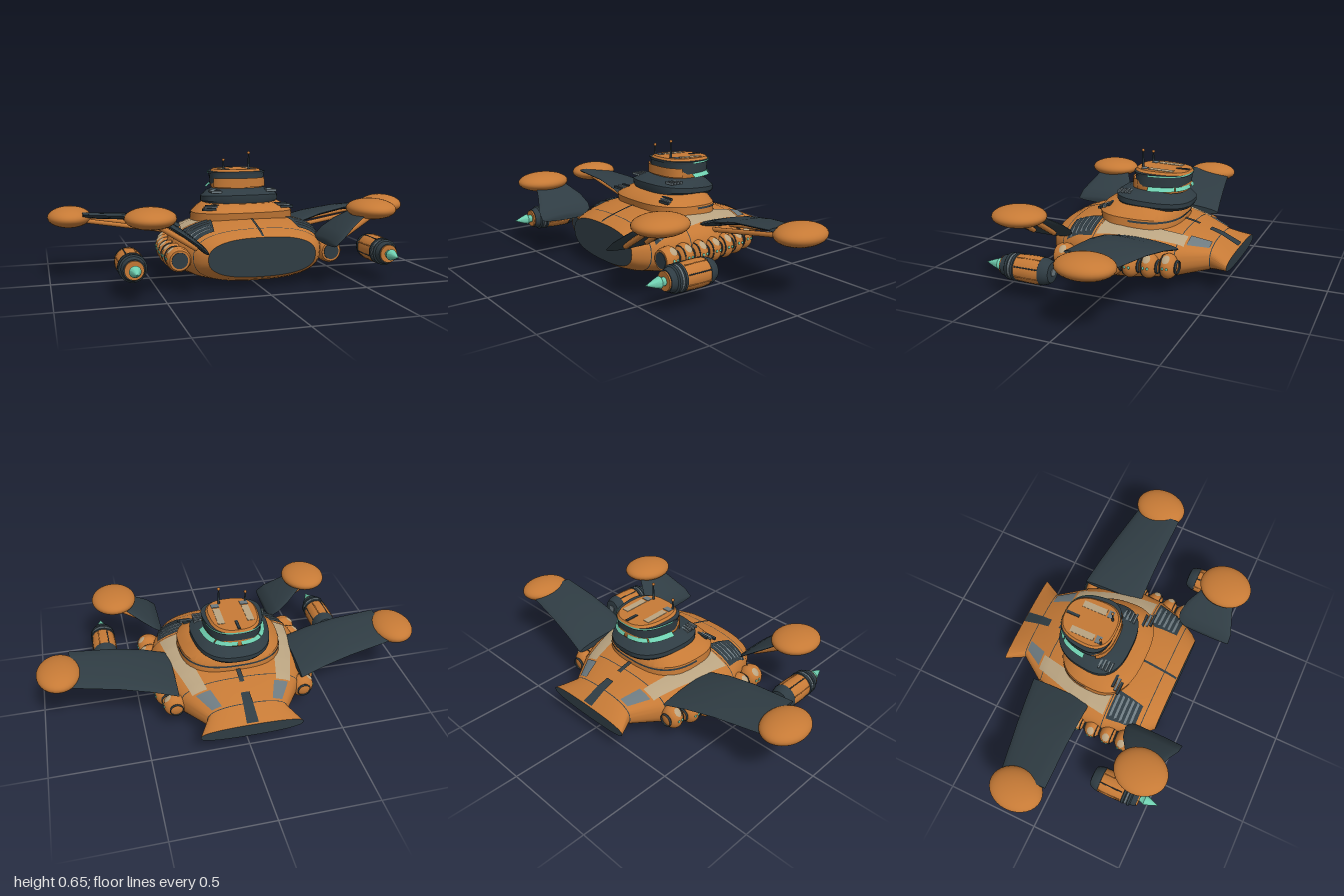
import * as THREE from 'three';
import { toCreasedNormals } from 'three/addons/utils/BufferGeometryUtils.js';

const material = (name, color) => {
  const m = new THREE.MeshStandardMaterial({ color, side: THREE.DoubleSide });
  m.name = name;
  return m;
};

export function createModel() {
  const model = new THREE.Group();
  model.name = 'spacecraft';
  const orange = material('orange', 0xc67a36);
  const dark = material('dark slate', 0x2f3c43);
  const teal = material('teal', 0x6fcfb0);
  const tan = material('tan', 0xbaa481);
  const grey = material('grey', 0x6d7a80);

  const add = (name, geometry, mat, x = 0, y = 0, z = 0) => {
    const mesh = new THREE.Mesh(geometry, mat);
    mesh.name = name;
    mesh.position.set(x, y, z);
    model.add(mesh);
    return mesh;
  };
  const V = (x, y, z) => new THREE.Vector3(x, y, z);
  const pw = (v, e) => Math.sign(v) * Math.abs(v) ** e;

  // Closed loft through rings; group 0 is the skin, 1 and 2 the end caps
  function loft(rings, crease = 0.6, caps = true) {
    const n = rings[0].length, pts = rings.flat(), idx = [];
    for (let r = 0; r < rings.length - 1; r++)
      for (let i = 0; i < n; i++) {
        const j = (i + 1) % n, a = r * n + i, b = r * n + j;
        idx.push(a, b, a + n, b, b + n, a + n);
      }
    const skin = idx.length;
    if (caps) [rings[0], rings[rings.length - 1]].forEach((ring, k) => {
      const base = pts.length;
      const c = V(0, 0, 0);
      ring.forEach(p => c.add(p));
      pts.push(...ring, c.divideScalar(n));
      for (let i = 0; i < n; i++) {
        const j = (i + 1) % n;
        idx.push(base + n, base + (k ? i : j), base + (k ? j : i));
      }
    });
    // Turn the faces outward when the rings run the other way
    const c = V(0, 0, 0), cross = V(0, 0, 0);
    pts.forEach(p => c.addScaledVector(p, 1 / pts.length));
    let volume = 0;
    for (let i = 0; i < idx.length; i += 3) {
      const [p, q, s] = [0, 1, 2].map(k => pts[idx[i + k]].clone().sub(c));
      volume += p.dot(cross.crossVectors(q, s));
    }
    if (volume < 0) for (let i = 0; i < idx.length; i += 3) [idx[i], idx[i + 1]] = [idx[i + 1], idx[i]];
    const g = new THREE.BufferGeometry().setFromPoints(pts);
    g.setIndex(idx);
    g.addGroup(0, skin, 0);
    if (caps) { g.addGroup(skin, n * 3, 1); g.addGroup(skin + n * 3, n * 3, 2); }
    return toCreasedNormals(g, crease);
  }

  // Open sheet from a function of u and v
  function sheet(f, nu = 10, nv = 6) {
    const g = new THREE.PlaneGeometry(1, 1, nu, nv), p = g.attributes.position;
    for (let i = 0; i < p.count; i++) {
      const q = f(p.getX(i) + 0.5, p.getY(i) + 0.5);
      p.setXYZ(i, q.x, q.y, q.z);
    }
    g.computeVertexNormals();
    return g;
  }

  // Hull stations: z, half width, bottom, top
  const stations = [
    [-0.55, 0.26, 0.105, 0.175], [-0.45, 0.205, 0.072, 0.225], [-0.3, 0.31, 0.035, 0.272],
    [-0.2, 0.36, 0.02, 0.292], [-0.1, 0.392, 0.009, 0.307], [0, 0.408, 0.003, 0.317], [0.11, 0.402, 0, 0.32],
    [0.2, 0.376, 0.007, 0.312], [0.3, 0.33, 0.025, 0.285], [0.345, 0.303, 0.042, 0.27], [0.375, 0.275, 0.06, 0.255],
  ];
  const N = 2.55;
  function station(z) {
    let i = 0;
    while (i < stations.length - 2 && z > stations[i + 1][0]) i++;
    const [a, b] = [stations[i], stations[i + 1]];
    return a.map((v, k) => v + (b[k] - v) * (z - a[0]) / (b[0] - a[0]));
  }
  function hullRing(z, grow = 0) {
    const [, w, lo, hi] = station(z);
    return Array.from({ length: 64 }, (_, i) => {
      const t = i / 64 * Math.PI * 2;
      return V((w + grow) * pw(Math.cos(t), 2 / N), (lo + hi) / 2 + ((hi - lo) / 2 + grow) * pw(Math.sin(t), 2 / N), z);
    });
  }
  // Plate lying on the hull: x range at each z end
  function hullPlate(name, mat, z0, z1, [a0, b0], [a1, b1], off = 0.004, up = 1) {
    add(name, sheet((u, v) => {
      const z = z0 + (z1 - z0) * v;
      const [, w, lo, hi] = station(z);
      const x = (a0 + (a1 - a0) * v) * (1 - u) + (b0 + (b1 - b0) * v) * u;
      const h = Math.max(0, 1 - Math.min(1, Math.abs(x / w)) ** N) ** (1 / N);
      return V(x, (lo + hi) / 2 + up * ((hi - lo) / 2 * h + off), z);
    }, 6, 14), mat);
  }
  add('hull', loft(stations.map(s => hullRing(s[0]))), [orange, dark, dark]);
  for (const z of [-0.45, -0.3, -0.1, 0.11, 0.3])
    add('hullSeam', loft([hullRing(z - 0.002, 0.002), hullRing(z + 0.002, 0.002)], 0.6, false), dark);

  // Painted hull plates
  hullPlate('tailStrip', dark, -0.545, -0.39, [-0.03, 0.03], [-0.022, 0.022], 0.006);
  hullPlate('spineStrip', dark, -0.33, -0.24, [-0.012, 0.012], [-0.012, 0.012], 0.006);
  hullPlate('noseSeam', dark, 0.1, 0.37, [-0.006, 0.006], [-0.006, 0.006]);
  hullPlate('keelSeam', dark, -0.54, 0.37, [-0.004, 0.004], [-0.004, 0.004], 0.002, -1);
  for (const s of [-1, 1]) {
    hullPlate('sidePanel', tan, -0.33, -0.1, [s * 0.18, s * 0.255], [s * 0.23, s * 0.325]);
    hullPlate('sidePanel', tan, -0.1, 0.1, [s * 0.23, s * 0.325], [s * 0.24, s * 0.35]);
    hullPlate('tailPanel', grey, -0.44, -0.34, [s * 0.13, s * 0.18], [s * 0.165, s * 0.24], 0.006);
    hullPlate('ventBase', dark, 0.12, 0.275, [s * 0.2, s * 0.36], [s * 0.22, s * 0.335], 0.006);
    for (let i = 0; i < 5; i++) {
      const z = 0.132 + i * 0.028;
      hullPlate('ventBar', grey, z, z + 0.012, [s * 0.22, s * 0.345], [s * 0.225, s * 0.335], 0.012);
    }
    for (const f of [0.42, 0.8])
      for (const [z0, z1] of [[-0.44, -0.3], [-0.3, -0.1], [-0.1, 0.11], [0.11, 0.3]]) {
        const [x0, x1] = [z0, z1].map(z => s * f * station(z)[1]);
        hullPlate('bellySeam', dark, z0, z1, [x0 - 0.0015, x0 + 0.0015], [x1 - 0.0015, x1 + 0.0015], 0.002, -1);
      }
  }

  // Tower decks: plan curve widening toward the front, height sloping with z
  const planPoint = (t, y, w, z0, z1, taper, slope = 0) => {
    const sx = pw(Math.cos(t), 0.75), sz = pw(Math.sin(t), 0.75);
    return V(w * sx * (1 + taper * sz), y + slope * sz, (z0 + z1) / 2 + (z1 - z0) / 2 * sz);
  };
  const deck = (name, mat, rows) => add(name, loft(rows.map(row =>
    Array.from({ length: 48 }, (_, i) => planPoint(i / 48 * Math.PI * 2, ...row)))), mat);
  // Ribbon between two plan curves
  const band = (name, mat, t0, t1, low, high) => add(name, sheet((u, v) => {
    const t = t0 + (t1 - t0) * u;
    return planPoint(t, ...low).lerp(planPoint(t, ...high), v);
  }, 40, 1), mat);
  deck('lowerDeck', orange, [[0.28, 0.27, -0.25, 0.17, 0.06], [0.335, 0.265, -0.25, 0.182, 0.06, 0.012],
    [0.36, 0.24, -0.23, 0.165, 0.06, 0.006], [0.385, 0.2, -0.2, 0.12, 0.06]]);
  band('lowerDeckEdge', dark, Math.PI, Math.PI * 2, [0.318, 0.27, -0.253, 0.18, 0.06, 0.012], [0.328, 0.268, -0.253, 0.18, 0.06, 0.012]);
  deck('middleDeck', dark, [[0.365, 0.18, -0.28, 0.09, 0.14, 0.01], [0.385, 0.2, -0.29, 0.1, 0.14, 0.015],
    [0.41, 0.2, -0.29, 0.1, 0.14, 0.018], [0.438, 0.17, -0.25, 0.05, 0.12, 0.01], [0.455, 0.13, -0.2, 0.01, 0.1]]);
  deck('towerBase', orange, [[0.44, 0.13, -0.26, 0.01, 0.16], [0.475, 0.14, -0.27, 0.018, 0.16], [0.5, 0.135, -0.265, 0.018, 0.16]]);
  deck('tower', dark, [[0.474, 0.141, -0.268, 0.005, 0.16], [0.53, 0.144, -0.272, 0.005, 0.16]]);
  band('towerFrontPanel', orange, Math.PI * 0.17, Math.PI * 0.83, [0.46, 0.146, -0.27, 0.021, 0.16], [0.508, 0.144, -0.27, 0.021, 0.16]);
  // Slanting light panels around the sides and back, split by dark gaps
  for (const [t0, t1] of [[0.95, 1.2], [1.215, 1.49], [1.51, 1.785], [1.8, 2.05]])
    band('towerLights', teal, t0 * Math.PI, t1 * Math.PI, [0.457, 0.164, -0.278, 0.01, 0.16], [0.475, 0.143, -0.27, 0.008, 0.16]);
  band('towerUpperLights', teal, Math.PI * 0.95, Math.PI * 2.05, [0.529, 0.152, -0.278, 0.012, 0.14], [0.536, 0.152, -0.278, 0.012, 0.14]);
  deck('roofRim', dark, [[0.526, 0.148, -0.276, 0.01, 0.14, 0.003], [0.538, 0.15, -0.276, 0.012, 0.14, 0.005]]);
  deck('roof', orange, [[0.538, 0.13, -0.277, 0.012, 0.08, 0.005], [0.55, 0.12, -0.27, 0.004, 0.08, 0.004]]);
  for (const s of [-1, 1]) {
    add('roofPanel', new THREE.BoxGeometry(0.035, 0.006, 0.13), tan, s * 0.075, 0.549, -0.14).rotation.x = -0.03;
    add('roofHatch', new THREE.BoxGeometry(0.04, 0.006, 0.03), grey, s * 0.075, 0.552, -0.05);
    for (let i = 0; i < 4; i++)
      add('deckVent', new THREE.BoxGeometry(0.055, 0.012, 0.01), grey, s * 0.15, 0.444, 0.055 - i * 0.02);
    for (let i = 0; i < 3; i++)
      add('deckStep', new THREE.BoxGeometry(0.07, 0.012, 0.014), i % 2 ? grey : dark, s * (0.185 + i * 0.012), 0.378 - i * 0.006, 0.095 + i * 0.018);
  }
  add('roofSpine', new THREE.BoxGeometry(0.014, 0.006, 0.07), dark, 0, 0.549, -0.23);

  // Straight rod between two points
  function rod(name, mat, a, b, r0, r1 = r0) {
    const d = b.clone().sub(a);
    const m = add(name, new THREE.CylinderGeometry(r1, r0, d.length(), 10), mat);
    m.position.copy(a).addScaledVector(d, 0.5);
    m.quaternion.setFromUnitVectors(V(0, 1, 0), d.normalize());
  }
  for (const [x, top] of [[0.05, 0.64], [-0.09, 0.605]]) {
    rod('antenna', dark, V(x, 0.54, -0.03), V(x, top, -0.03), 0.007, 0.003);
    add('antennaTip', new THREE.SphereGeometry(0.008, 12, 8), orange, x, top, -0.03);
  }

  // Wings: x, y, front z, back z, thickness, rise of the front edge
  const wing = (name, s, rows) => add(name, loft(rows.map(([x, y, zf, zb, h, rise]) =>
    Array.from({ length: 20 }, (_, i) => {
      const t = i / 20 * Math.PI * 2;
      return V(s * x, y + h / 2 * Math.sin(t) + rise * Math.cos(t), (zf + zb) / 2 + (zf - zb) / 2 * Math.cos(t));
    })), 1), dark);
  const ball = (name, mat, x, y, z, rx, ry, rz) =>
    add(name, new THREE.SphereGeometry(1, 32, 20), mat, x, y, z).scale.set(rx, ry, rz);
  // Turned part along z from [radius, z] points
  const turned = (name, mat, x, y, z, points) => add(name, toCreasedNormals(new THREE.LatheGeometry(
    points.map(p => new THREE.Vector2(...p)), 28).rotateX(Math.PI / 2), 0.6), mat, x, y, z);

  for (const s of [-1, 1]) {
    wing('rearWing', s, [[0.32, 0.243, 0.01, -0.328, 0.04, 0.012], [0.45, 0.282, 0.01, -0.305, 0.04, 0.017],
      [0.6, 0.31, 0.01, -0.278, 0.036, 0.02], [0.83, 0.328, 0.015, -0.235, 0.032, 0.02]]);
    ball('rearWingPod', orange, s * 0.89, 0.322, -0.12, 0.11, 0.054, 0.14);
    wing('frontWing', s, [[0.315, 0.225, 0.545, 0.25, 0.035, 0], [0.36, 0.265, 0.54, 0.235, 0.035, 0],
      [0.42, 0.31, 0.51, 0.25, 0.035, 0], [0.5, 0.362, 0.48, 0.3, 0.03, 0]]);
    ball('frontWingPod', orange, s * 0.555, 0.379, 0.41, 0.12, 0.051, 0.14);
    for (const z of [0.34, 0.46]) rod('frontWingStrut', orange, V(s * 0.35, 0.235, z), V(s * 0.53, 0.35, z), 0.014);
    for (const z of [-0.06, -0.2])
      rod('rearWingStrut', orange, V(s * 0.34, 0.226, z), V(s * 0.82, 0.306, z * 0.8 - 0.02), 0.012);

    // Free-standing engine with spike in front
    const engine = (name, mat, pts) => turned(name, mat, s * 0.64, 0.15, 0, pts);
    engine('engineRear', dark, [[0, 0.19], [0.03, 0.182], [0.05, 0.186], [0.058, 0.2], [0.066, 0.222], [0.066, 0.235], [0.062, 0.238]]);
    engine('engineRearHub', grey, [[0, 0.18], [0.018, 0.181], [0.018, 0.19]]);
    engine('engineBody', orange, [[0.063, 0.222], [0.067, 0.26], [0.067, 0.31], [0.063, 0.37]]);
    engine('engineFront', dark, [[0.06, 0.366], [0.068, 0.37], [0.068, 0.382], [0.061, 0.386], [0.061, 0.4],
      [0.066, 0.402], [0.066, 0.414], [0.058, 0.42], [0.05, 0.448], [0.04, 0.448]]);
    engine('engineGreyRing', grey, [[0.06, 0.386], [0.064, 0.388], [0.064, 0.398], [0.06, 0.4]]);
    engine('engineNozzle', orange, [[0.045, 0.44], [0.045, 0.456], [0.03, 0.456], [0, 0.45]]);
    engine('engineSpike', teal, [[0.02, 0.44], [0.02, 0.465], [0.028, 0.48], [0.02, 0.505], [0, 0.555]]);
    for (let i = 0; i < 8; i++) {
      const a = (i + 0.5) * Math.PI / 4, c = Math.cos(a), k = Math.sin(a);
      rod('engineRib', i % 2 ? orange : dark, V(s * 0.64 + 0.066 * c, 0.15 + 0.066 * k, 0.235),
        V(s * 0.64 + 0.065 * c, 0.15 + 0.065 * k, 0.36), 0.003);
    }

    // Row of side pods following the hull
    [0.397, 0.4, 0.402, 0.398, 0.387, 0.366, 0.337].forEach((px, i) => {
      const x = s * px, y = 0.145, z = 0.245 - i * 0.088;
      ball('sidePod', orange, x, y, z, 0.06, 0.063, 0.047);
      add('podRing', new THREE.TorusGeometry(0.052, 0.003, 6, 28), dark, x, y, z + 0.026);
      turned('podJoint', dark, x, y, z - 0.044, [[0.032, -0.008], [0.036, 0], [0.032, 0.008]]);
      for (const dz of [-0.011, 0.011])
        ball('podLight', teal, x + s * 0.058, y + 0.004, z + dz, 0.005, 0.007, 0.006);
      const cap = add('podCap', new THREE.SphereGeometry(1, 16, 4, 0, Math.PI * 2, 0, 0.4), tan, x, y, z);
      cap.scale.set(0.062, 0.065, 0.049);
      cap.rotation.z = -s * 0.7;
    });
    turned('podRowNose', orange, s * 0.397, 0.145, 0, [[0.059, 0.25], [0.059, 0.277], [0.05, 0.292], [0.04, 0.292]]);
    turned('podRowNoseDisc', dark, s * 0.397, 0.145, 0, [[0.041, 0.287], [0.04, 0.295], [0, 0.295]]);
  }
  return model;
}
